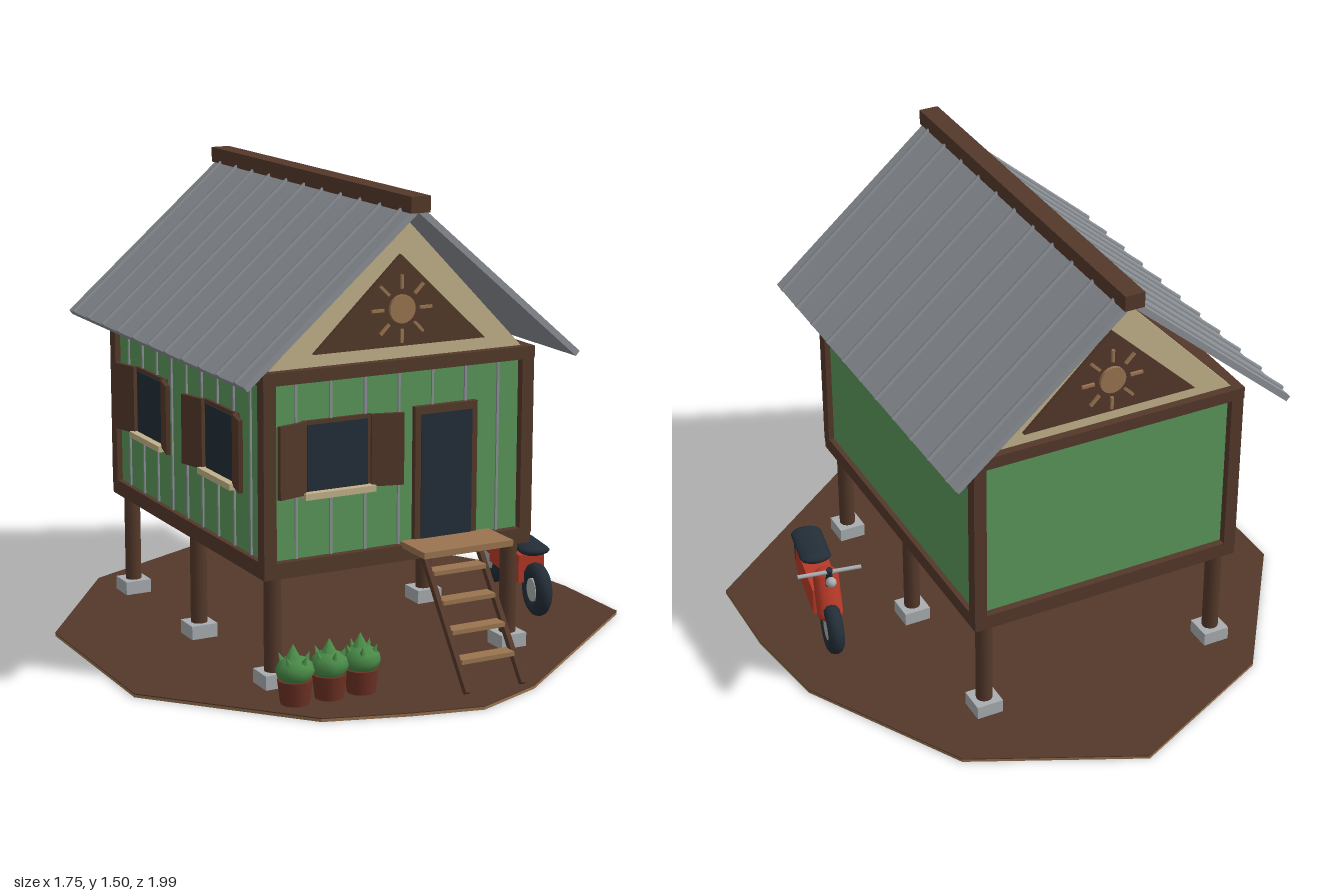
import * as THREE from 'three';

const paint = (name, color) => {
  const m = new THREE.MeshStandardMaterial({ color });
  m.name = name;
  return m;
};

export function createModel() {
  const root = new THREE.Group();
  root.name = 'stiltHouse';
  const wood = paint('darkWood', 0x54392a);
  const green = paint('greenWall', 0x5a965a);
  const metal = paint('roofMetal', 0x8c9196);
  const cream = paint('cream', 0xc2b28a);
  const tan = paint('tanWood', 0x9a7450);
  const dark = paint('darkGlassAndRubber', 0x232e38);
  const red = paint('redPaint', 0xb83a28);
  const leaf = paint('leaf', 0x4a8a48);
  const clay = paint('clay', 0x6e3224);
  const pale = paint('paleStone', 0xa9adb0);

  const add = (name, geo, mat, x = 0, y = 0, z = 0, parent = root) => {
    const m = new THREE.Mesh(geo, mat);
    m.name = name;
    m.position.set(x, y, z);
    parent.add(m);
    return m;
  };
  const box = (name, mat, w, h, d, x, y, z, parent) => add(name, new THREE.BoxGeometry(w, h, d), mat, x, y, z, parent);
  const group = (name, x, y, z, ry = 0) => {
    const g = new THREE.Group();
    g.name = name;
    g.position.set(x, y, z);
    g.rotation.y = ry;
    root.add(g);
    return g;
  };
  const polygon = pts => new THREE.Shape(pts.map(([x, y]) => new THREE.Vector2(x, y)));
  const plate = (pts, depth) => new THREE.ExtrudeGeometry(polygon(pts), { depth, bevelEnabled: false });

  // Ground: irregular slab with an earth top
  const outline = [[0, 1], [0.53, 0.75], [0.825, 0.22], [0.87, -0.085], [0.87, -0.4], [0.23, -0.9], [0, -0.99],
    [-0.22, -0.94], [-0.48, -0.86], [-0.885, -0.41], [-0.885, 0.25], [-0.53, 0.75]].reverse();
  add('groundSlab', plate(outline, 0.009), tan).rotation.x = -Math.PI / 2;
  add('groundTop', plate(outline, 0.003), wood, 0, 0.009, 0).rotation.x = -Math.PI / 2;

  // House body
  const cx = -0.06, cz = -0.01;
  box('walls', green, 0.9, 0.6, 1.13, cx, 0.68, cz);
  box('floorFrame', wood, 0.935, 0.05, 1.18, cx, 0.385, cz);
  box('topPlate', wood, 0.94, 0.04, 1.185, cx, 0.975, cz);
  for (const sx of [-1, 1]) {
    for (const sz of [-1, 1]) box('cornerPost', wood, 0.042, 0.57, 0.042, cx + sx * 0.448, 0.68, cz + sz * 0.57);
    // Stilts on stone footings
    for (const z of [0.53, -0.012, -0.557]) {
      add('stilt', new THREE.CylinderGeometry(0.027, 0.027, 0.34, 12), wood, cx + sx * 0.418, 0.2, z);
      box('footing', pale, 0.09, 0.045, 0.09, cx + sx * 0.418, 0.036, z);
    }
  }

  // Wall battens on the front and left-hand window wall
  for (let i = 0; i < 7; i++) box('frontBatten', metal, 0.008, 0.55, 0.008, -0.41 + i * 0.117, 0.68, 0.557);
  for (let i = 0; i < 9; i++) box('sideBatten', metal, 0.008, 0.55, 0.008, -0.512, 0.68, cz + (i - 4) * 0.117);

  // Shuttered windows
  const windowAt = (x, z, ry) => {
    const g = group('window', x, 0.72, z, ry);
    box('windowFrame', wood, 0.235, 0.23, 0.014, 0, 0, 0.004, g);
    box('windowPane', dark, 0.205, 0.205, 0.008, 0, 0, 0.011, g);
    box('windowSill', cream, 0.24, 0.02, 0.04, 0, -0.113, 0.018, g);
    for (const s of [-1, 1]) {
      const shutter = box('shutter', wood, 0.102, 0.225, 0.014, s * 0.162, 0.003, 0.03, g);
      shutter.rotation.y = -s * 0.25;
    }
  };
  windowAt(-0.275, 0.555, 0);
  for (const z of [-0.28, 0.26]) windowAt(-0.51, z, -Math.PI / 2);

  // Door
  box('doorFrame', wood, 0.22, 0.43, 0.03, 0.1, 0.625, 0.56);
  box('doorPanel', dark, 0.18, 0.405, 0.008, 0.1, 0.613, 0.574);

  // Landing and ladder
  box('landing', tan, 0.315, 0.02, 0.15, 0.1, 0.412, 0.645);
  const foot = [0.88, 0.015], head = [0.59, 0.405];
  const dz = foot[0] - head[0], dy = head[1] - foot[1];
  for (const x of [0.003, 0.2]) {
    const rail = box('ladderRail', wood, 0.016, Math.hypot(dz, dy), 0.02, x, (foot[1] + head[1]) / 2, (foot[0] + head[0]) / 2);
    rail.rotation.x = -Math.atan2(dz, dy);
  }
  for (const y of [0.1, 0.177, 0.255, 0.333]) box('ladderTread', tan, 0.185, 0.014, 0.05, 0.1, y, foot[0] - dz * (y - foot[1]) / dy);

  // Gables with a sun ornament at both ends
  for (const end of [0, 1]) {
    const g = group('gable', cx, 0, end ? cz - 0.535 : cz + 0.535, end * Math.PI);
    add('gablePanel', plate([[-0.44, 0.99], [0.44, 0.99], [0, 1.445]], 0.03), cream, 0, 0, 0, g);
    add('gableInset', plate([[-0.295, 1.035], [0.295, 1.035], [0, 1.315]], 0.015), wood, 0, 0, 0.03, g);
    const disc = add('sunDisc', new THREE.CylinderGeometry(0.044, 0.044, 0.012, 20), tan, 0, 1.15, 0.05, g);
    disc.rotation.x = Math.PI / 2;
    for (let i = 0; i < 8; i++) {
      const a = i * Math.PI / 4;
      const ray = box('sunRay', tan, 0.042, 0.009, 0.009, Math.cos(a) * 0.083, 1.15 + Math.sin(a) * 0.083, 0.049, g);
      ray.rotation.z = a;
    }
  }

  // Ribbed metal roof
  const run = 0.57, rise = 0.49, slope = Math.hypot(run, rise);
  for (const s of [-1, 1]) {
    const g = group('roofSide', cx + s * run / 2, 1.222, -0.012);
    g.rotation.z = -s * Math.atan2(rise, run);
    box('roofSheet', metal, slope, 0.02, 1.37, 0, 0, 0, g);
    for (let i = 0; i < 11; i++) {
      const rib = add('roofRib', new THREE.CylinderGeometry(0.009, 0.009, slope, 6), metal, 0, 0.012, (i - 5) * 0.1265, g);
      rib.rotation.z = Math.PI / 2;
    }
  }
  box('ridgeBeam', wood, 0.066, 0.05, 1.4, cx, 1.48, -0.015);

  // Potted plants
  [-0.49, -0.375, -0.265].forEach((x, i) => {
    const g = group('pottedPlant', x, 0, 0.705, i * 0.9);
    add('pot', new THREE.CylinderGeometry(0.054, 0.045, 0.075, 12), clay, 0, 0.05, 0, g);
    const bush = add('bush', new THREE.IcosahedronGeometry(0.06, 1), leaf, 0, 0.115, 0, g);
    bush.scale.y = 0.75;
    add('bushTip', new THREE.ConeGeometry(0.045, 0.08, 7), leaf, (i - 1) * 0.006, 0.158, 0, g);
    for (let k = 0; k < 5; k++) {
      const a = k * Math.PI * 2 / 5;
      const tip = add('leafTip', new THREE.ConeGeometry(0.022, 0.06, 5), leaf, Math.cos(a) * 0.038, 0.14, Math.sin(a) * 0.038, g);
      tip.rotation.set(Math.sin(a) * 0.4, 0, -Math.cos(a) * 0.4);
    }
  });

  // Scooter
  const bike = group('scooter', 0.635, 0, 0.13, -0.18);
  for (const z of [0.2, -0.2]) {
    const tire = add('tire', new THREE.TorusGeometry(0.063, 0.027, 10, 24), dark, 0, 0.106, z, bike);
    tire.rotation.y = Math.PI / 2;
    const hub = add('hub', new THREE.CylinderGeometry(0.039, 0.039, 0.044, 16), pale, 0, 0.106, z, bike);
    hub.rotation.z = Math.PI / 2;
  }
  const pill = (name, mat, r, len, sx, sy, y, z, tilt) => {
    const m = add(name, new THREE.CapsuleGeometry(r, len, 5, 12), mat, 0, y, z, bike);
    m.rotation.x = tilt;
    m.scale.set(sx, 1, sy);
    return m;
  };
  box('body', red, 0.09, 0.095, 0.27, 0, 0.163, 0.01, bike);
  pill('seat', dark, 0.03, 0.145, 1.75, 0.6, 0.233, 0.1, Math.PI / 2);
  pill('frontShield', red, 0.032, 0.125, 1.35, 1, 0.21, -0.155, 0.38);
  const stem = add('steeringStem', new THREE.CylinderGeometry(0.011, 0.011, 0.08, 8), dark, 0, 0.3, -0.185, bike);
  stem.rotation.x = -0.3;
  const bar = add('handlebar', new THREE.CylinderGeometry(0.007, 0.007, 0.21, 8), pale, 0, 0.328, -0.195, bike);
  bar.rotation.z = Math.PI / 2;
  add('headlight', new THREE.SphereGeometry(0.018, 12, 8), pale, 0, 0.3, -0.215, bike);
  return root;
}
